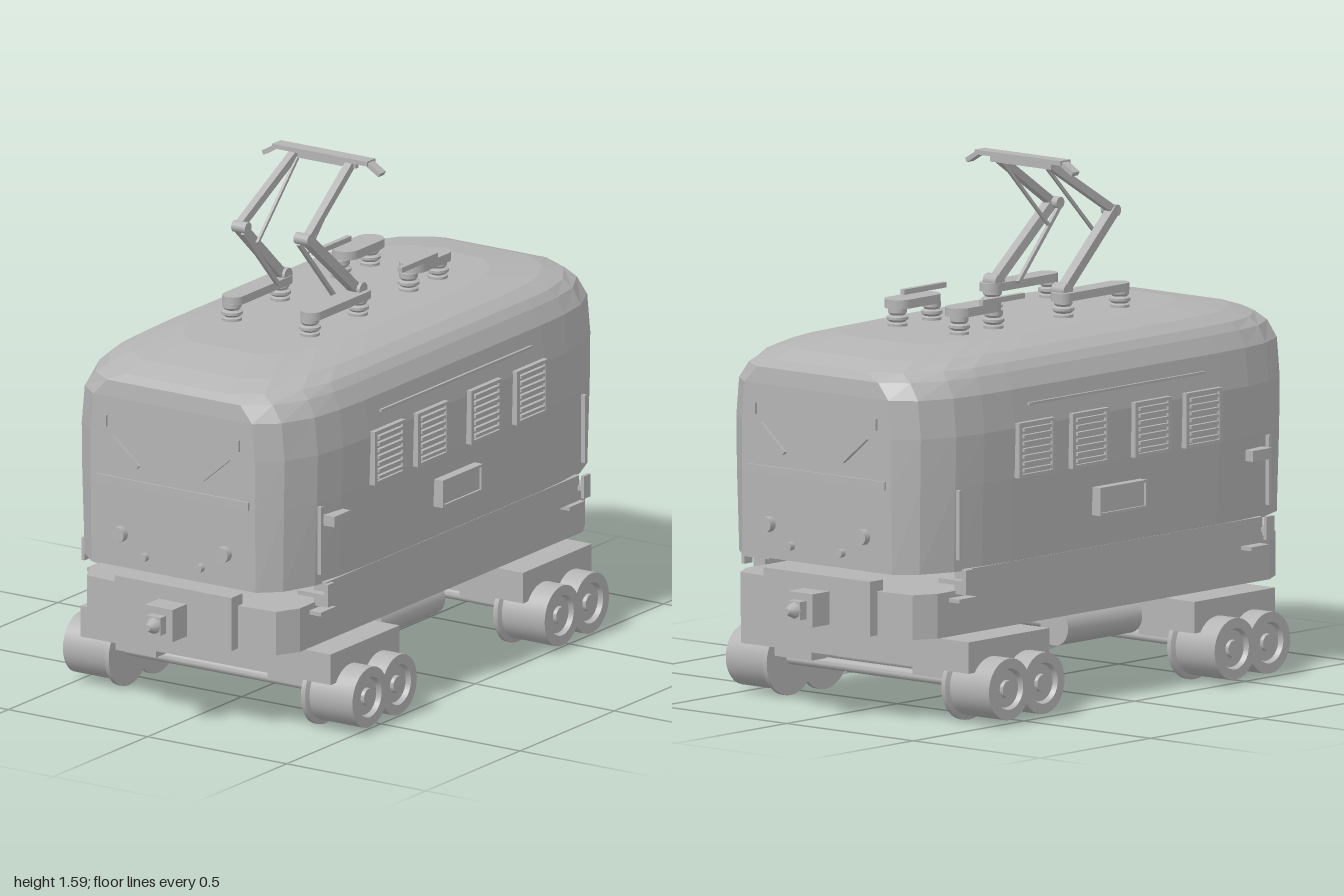
import * as THREE from 'three';
import { mergeGeometries, toCreasedNormals } from 'three/addons/utils/BufferGeometryUtils.js';

const grey = new THREE.MeshStandardMaterial({ color: 0xb4b4b4 });
grey.name = 'plain grey';

const V = (x, y, z) => new THREE.Vector3(x, y, z);
const box = (w, h, d, x, y, z) => new THREE.BoxGeometry(w, h, d).translate(x, y, z);
// Box given by its limits on each axis
const span = (x0, x1, y0, y1, z0, z1) =>
  box(x1 - x0, y1 - y0, z1 - z0, (x0 + x1) / 2, (y0 + y1) / 2, (z0 + z1) / 2);
const cylX = (r, x0, x1, y, z, n) =>
  new THREE.CylinderGeometry(r, r, x1 - x0, n).rotateZ(Math.PI / 2).translate((x0 + x1) / 2, y, z);
const cylZ = (r, z0, z1, x, y, n) =>
  new THREE.CylinderGeometry(r, r, z1 - z0, n).rotateX(Math.PI / 2).translate(x, y, (z0 + z1) / 2);

// Square bar between two points
function bar(a, b, w, h = w) {
  const m = new THREE.Matrix4().lookAt(b, a, V(0, 1, 0));
  m.setPosition(a.clone().add(b).multiplyScalar(0.5));
  return new THREE.BoxGeometry(w, h, a.distanceTo(b)).applyMatrix4(m);
}

// Closed shell through mirrored rings; a quadrant runs from the nose to the side
function loft(levels) {
  const rings = levels.map(({ y, q }) => {
    const r = [...q].reverse();
    return [...q, ...r.map(([x, z]) => [x, -z]), ...q.map(([x, z]) => [-x, -z]), ...r.map(([x, z]) => [-x, z])]
      .map(([x, z]) => V(x, y, z));
  });
  const pts = [];
  const n = rings[0].length;
  const last = rings.length - 1;
  for (let i = 0; i < n; i++) {
    const j = (i + 1) % n;
    for (let k = 0; k < last; k++) {
      const [a, b, c, d] = [rings[k][i], rings[k][j], rings[k + 1][j], rings[k + 1][i]];
      pts.push(a, b, c, a, c, d);
    }
    pts.push(V(0, levels[0].y, 0), rings[0][j], rings[0][i]);
    pts.push(V(0, levels[last].y, 0), rings[last][i], rings[last][j]);
  }
  const g = new THREE.BufferGeometry().setFromPoints(pts);
  g.computeVertexNormals();
  return g;
}

// Ribbed insulator standing on the roof
function insulator(x, z) {
  const p = [[0, 1.1], [0.03, 1.1], [0.03, 1.118], [0.022, 1.122], [0.033, 1.13], [0.033, 1.138],
    [0.022, 1.143], [0.028, 1.15], [0.028, 1.165], [0, 1.165]].map(([r, y]) => new THREE.Vector2(r, y));
  return toCreasedNormals(new THREE.LatheGeometry(p, 18), 0.5).translate(x, 0, z);
}

// Horizontal plate with round ends along z
function roundPlate(x, w, y0, y1, z0, z1) {
  const r = w / 2;
  const s = new THREE.Shape();
  s.absarc(0, (z1 - z0) / 2 - r, r, 0, Math.PI);
  s.absarc(0, -(z1 - z0) / 2 + r, r, Math.PI, Math.PI * 2);
  return new THREE.ExtrudeGeometry(s, { depth: y1 - y0, bevelEnabled: false, curveSegments: 8 })
    .rotateX(-Math.PI / 2).translate(x, y0, (z0 + z1) / 2);
}

export function createModel() {
  const model = new THREE.Group();
  const add = (name, ...geos) => {
    const plain = geos.map((g) => {
      const f = g.index ? g.toNonIndexed() : g;
      f.deleteAttribute('uv');
      return f;
    });
    const mesh = new THREE.Mesh(mergeGeometries(plain), grey);
    mesh.name = name;
    model.add(mesh);
  };

  // Body shell: height, half width, half length, half width of the flat nose
  const shell = [
    [0.462, 0.418, 0.862, 0.295], [0.72, 0.43, 0.866, 0.295], [0.87, 0.434, 0.866, 0.295],
    [0.985, 0.422, 0.866, 0.285], [1.035, 0.398, 0.862, 0.24], [1.06, 0.378, 0.85, 0.18],
    [1.085, 0.34, 0.77, 0.17], [1.11, 0.25, 0.6, 0.12],
  ];
  add('body', loft(shell.map(([y, X, Z, f]) => ({
    y, q: [[f, Z], [f + (X - f) * 0.5, Z - 0.055], [f + (X - f) * 0.85, Z - 0.16], [X - 0.005, Z - 0.27], [X, Z - 0.4]],
  }))));

  // Underframe with tapered ends
  const plan = [[0.21, 0.83], [0.34, 0.82], [0.378, 0.75]];
  add('underframe', loft([{ y: 0.265, q: plan }, { y: 0.4, q: plan }]));

  for (const s of [1, -1]) {
    const side = s > 0 ? 'left' : 'right';
    const sx = (a, b, ...rest) => (s > 0 ? span(a, b, ...rest) : span(-b, -a, ...rest));

    add(side + 'Sill', sx(0.375, 0.42, 0.39, 0.468, -0.67, 0.67));
    add(side + 'Gutter', sx(0.42, 0.435, 0.932, 0.94, -0.4, 0.4));

    // Louvred grilles
    for (const z of [0.375, 0.145, -0.137, -0.38]) {
      const slats = [];
      for (let i = 0; i < 7; i++) {
        slats.push(box(0.016, 0.01, 0.125, s * 0.444, 0.741 + i * 0.0205, z));
      }
      add(side + 'Grille',
        sx(0.42, 0.44, 0.722, 0.885, z - 0.08, z + 0.08),
        sx(0.42, 0.449, 0.72, 0.73, z - 0.08, z + 0.08), sx(0.42, 0.449, 0.876, 0.886, z - 0.08, z + 0.08),
        sx(0.42, 0.449, 0.72, 0.886, z - 0.082, z - 0.068), sx(0.42, 0.449, 0.72, 0.886, z + 0.068, z + 0.082), ...slats);
    }

    // Blank side plate with raised rim, and small box
    add(side + 'Plate', sx(0.415, 0.45, 0.565, 0.65, -0.105, 0.108),
      sx(0.44, 0.457, 0.565, 0.573, -0.105, 0.108), sx(0.44, 0.457, 0.642, 0.65, -0.105, 0.108),
      sx(0.44, 0.457, 0.565, 0.65, -0.105, -0.098), sx(0.44, 0.457, 0.565, 0.65, 0.1, 0.108));
    add(side + 'SideBox', sx(0.4, 0.452, 0.645, 0.678, 0.59, 0.675));

    // Handrails and steps by the corner doors
    for (const e of [1, -1]) {
      add(side + 'Handrail', box(0.014, 0.21, 0.012, s * 0.418, 0.605, e * 0.7));
      add(side + 'Steps', box(0.105, 0.014, 0.035, s * 0.387, 0.43, e * 0.68),
        box(0.012, 0.07, 0.035, s * 0.437, 0.435, e * 0.68),
        box(0.09, 0.012, 0.08, s * 0.375, 0.375, e * 0.66));
    }

    add(side + 'Tank', toCreasedNormals(cylZ(0.055, -0.1, 0.235, s * 0.27, 0.21, 24), 0.6));

    // Pantograph arms on an insulated base
    add(side + 'PantographBase', insulator(s * 0.14, 0.345), insulator(s * 0.14, 0.09),
      roundPlate(s * 0.141, 0.068, 1.16, 1.185, 0.05, 0.37));
    const foot = V(s * 0.135, 1.185, 0.09);
    const knee = V(s * 0.122, 1.4, 0.335);
    const head = V(s * 0.1, 1.57, 0.065);
    add(side + 'PantographArm', bar(foot, knee, 0.03), bar(knee, head, 0.024),
      bar(V(s * 0.1, 1.18, 0.16), V(s * 0.1, 1.385, 0.345), 0.012),
      bar(V(s * 0.09, 1.34, 0.285), V(s * 0.088, 1.555, 0.075), 0.009),
      cylX(0.018, s * 0.112 - 0.025, s * 0.112 + 0.025, 1.4, 0.337, 12),
      cylX(0.022, s * 0.135 - 0.025, s * 0.135 + 0.025, 1.19, 0.09, 12));

    // Roof switch
    add(side + 'RoofSwitch', insulator(s * 0.122, -0.205), insulator(s * 0.122, -0.36),
      roundPlate(s * 0.12, 0.085, 1.165, 1.192, -0.4, -0.19),
      box(0.016, 0.016, 0.19, s * 0.155, 1.2, -0.205));
  }

  // Pantograph contact head with drooping horns
  add('pantographHead', box(0.34, 0.014, 0.045, 0, 1.58, 0.065),
    bar(V(0.16, 1.58, 0.065), V(0.21, 1.55, 0.065), 0.03, 0.014),
    bar(V(-0.16, 1.58, 0.065), V(-0.21, 1.55, 0.065), 0.03, 0.014),
    box(0.24, 0.016, 0.016, 0, 1.562, 0.065));

  for (const e of [1, -1]) {
    const end = e > 0 ? 'front' : 'back';
    // End ledge, wipers and lamps
    add(end + 'Ledge', box(0.55, 0.025, 0.008, 0, 0.728, e * 0.868));
    for (const s of [1, -1]) {
      add(end + 'Wiper', bar(V(s * 0.21, 0.868, e * 0.878), V(s * 0.115, 0.787, e * 0.878), 0.012));
      add(end + 'WindowHook', box(0.006, 0.035, 0.012, s * 0.238, 0.91, e * 0.868));
      add(end + 'Lamps', cylZ(0.024, e * 0.872 - 0.015, e * 0.872 + 0.015, s * 0.187, 0.566, 16),
        cylZ(0.013, e * 0.87 - 0.012, e * 0.87 + 0.012, s * 0.1, 0.508, 12));
    }

    // End beam and coupler
    add(end + 'Beam', box(0.42, 0.165, 0.06, 0, 0.35, e * 0.835));
    add(end + 'Coupler', box(0.1, 0.1, 0.08, 0, 0.337, e * 0.9), box(0.05, 0.055, 0.03, 0, 0.337, e * 0.953),
      new THREE.CylinderGeometry(0.01, 0.027, 0.035, 8).rotateX(e * Math.PI / 2).translate(0, 0.337, e * 0.9825));

    // Bogie frame with pivot
    const z = e * 0.51;
    add(end + 'Bogie', box(0.9, 0.095, 0.365, 0, 0.207, z),
      box(0.15, 0.035, 0.3, 0.275, 0.145, z), box(0.15, 0.035, 0.3, -0.275, 0.145, z),
      box(0.56, 0.02, 0.22, 0, 0.26, z));

    // Axles and flanged wheels
    for (const d of [-0.078, 0.078]) {
      const wz = z + d;
      add(end + 'Axle', toCreasedNormals(cylX(0.018, -0.36, 0.36, 0.112, wz, 16), 0.6));
      for (const s of [1, -1]) {
        const prof = [[0, 0.345], [0.108, 0.345], [0.108, 0.36], [0.093, 0.366], [0.093, 0.52], [0.062, 0.52],
          [0.056, 0.505], [0.027, 0.505], [0.025, 0.516], [0, 0.516]].map(([r, h]) => new THREE.Vector2(r, h));
        add(end + 'Wheel', toCreasedNormals(new THREE.LatheGeometry(prof, 32), 0.5)
          .rotateZ(-s * Math.PI / 2).translate(0, 0.108, wz));
      }
    }
  }
  return model;
}
